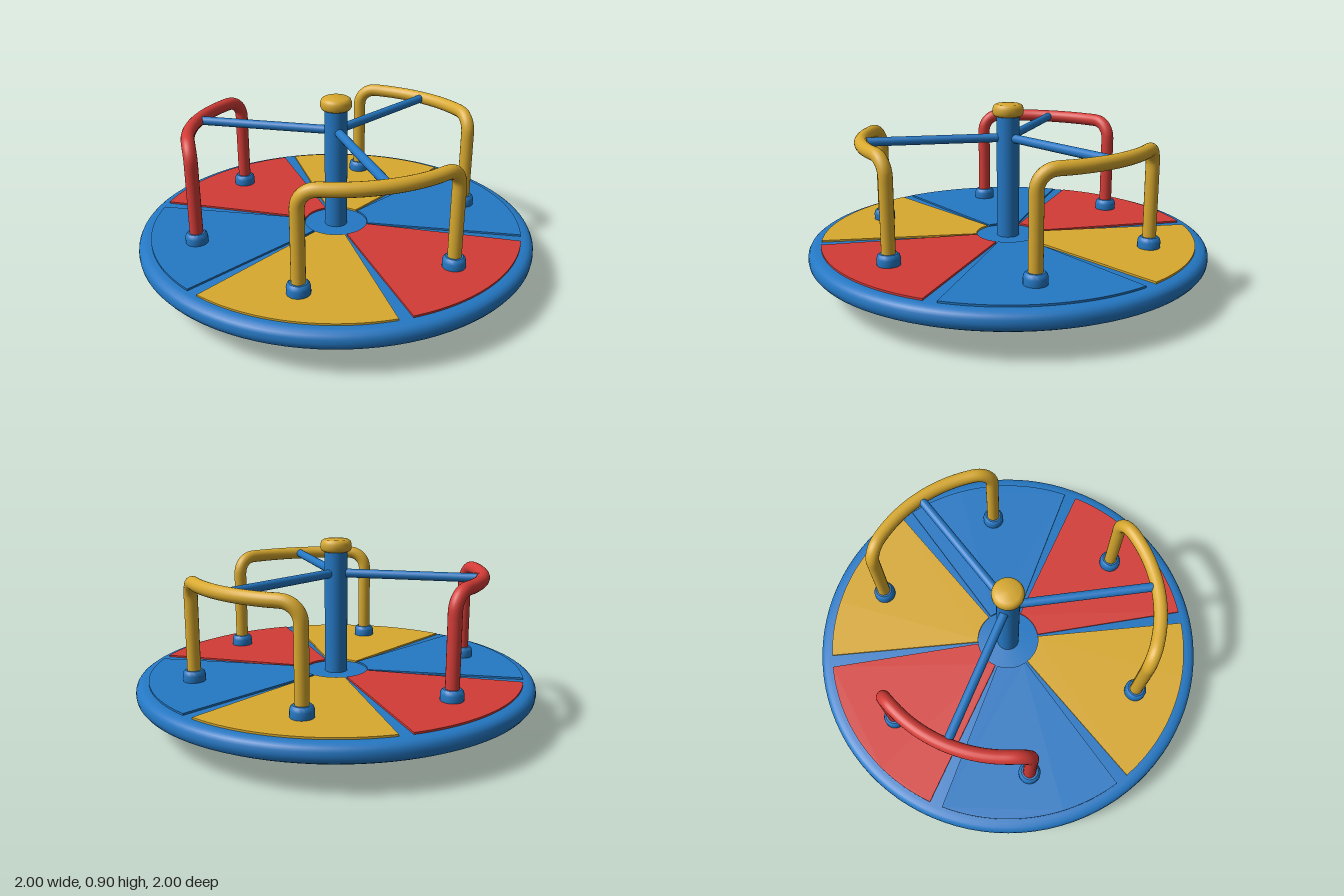
import * as THREE from 'three';
import { toCreasedNormals } from 'three/addons/utils/BufferGeometryUtils.js';

const material = (name, color) => {
  const m = new THREE.MeshStandardMaterial({ color });
  m.name = name;
  return m;
};
const DEG = Math.PI / 180;
const RAIL_R = 0.72;
const RAIL_Y = 0.732;

export function createModel() {
  const blue = material('blue paint', 0x2478c4);
  const yellow = material('yellow paint', 0xd8a92f);
  const red = material('red paint', 0xd43c37);
  const grey = material('grey metal', 0xa9b1b5);

  const model = new THREE.Group();
  model.name = 'merryGoRound';

  const add = (name, geometry, mat, parent = model) => {
    const mesh = new THREE.Mesh(geometry, mat);
    mesh.name = name;
    parent.add(mesh);
    return mesh;
  };
  const lathe = (points, segments) => toCreasedNormals(
    new THREE.LatheGeometry(points.map(([x, y]) => new THREE.Vector2(x, y)), segments), 40 * DEG);

  // Ground base: flange flaring into a short cone
  add('base', lathe([[0, 0], [0.27, 0], [0.27, 0.036], [0.232, 0.042], [0.215, 0.052],
    [0.202, 0.07], [0.18, 0.135], [0, 0.135]], 64), grey);

  // Round platform with a rolled rim
  add('platform', lathe([[0, 0.13], [0.935, 0.13], [0.965, 0.134], [0.986, 0.145], [0.997, 0.16],
    [1, 0.178], [0.998, 0.198], [0.99, 0.213], [0.976, 0.223], [0.955, 0.227], [0, 0.227]], 96), blue);

  // Six painted floor panels
  const panel = (a0, a1) => {
    const shape = new THREE.Shape();
    shape.absarc(0, 0, 0.937, a0, a1, false);
    shape.absarc(0, 0, 0.16, a1, a0, true);
    shape.closePath();
    return new THREE.ExtrudeGeometry(shape, { depth: 0.009, bevelEnabled: false, curveSegments: 24 })
      .rotateX(-Math.PI / 2).translate(0, 0.227, 0);
  };
  const panelColours = [yellow, red, blue];
  for (let i = 0; i < 6; i++) {
    add('floorPanel', panel((60 * i + 2) * DEG, (60 * i + 58) * DEG), panelColours[i % 3]);
  }

  // Centre post and its cap
  add('centrePost', new THREE.CylinderGeometry(0.057, 0.057, 0.63, 40).translate(0, 0.54, 0), blue);
  add('postCap', lathe([[0, 0.838], [0.06, 0.838], [0.071, 0.843], [0.077, 0.855], [0.077, 0.878],
    [0.072, 0.892], [0.06, 0.9], [0, 0.9]], 40), yellow);

  // Handrail path: upright, rounded bend, arc round the platform, bend, upright
  const half = 31 * DEG;
  const bend = 0.09;
  const at = (angle, y) => new THREE.Vector3(RAIL_R * Math.cos(angle), y, -RAIL_R * Math.sin(angle));
  const side = [];
  for (const y of [0.22, 0.35, 0.5, 0.6]) side.push([half, y]);
  for (let i = 0; i <= 6; i++) {
    const t = i / 6 * Math.PI / 2;
    side.push([half - bend * (1 - Math.cos(t)) / RAIL_R, RAIL_Y - bend + bend * Math.sin(t)]);
  }
  const arcStart = half - bend / RAIL_R;
  const path = side.map(([a, y]) => at(a, y));
  for (let i = 1; i < 10; i++) path.push(at(arcStart * (1 - i / 5), RAIL_Y));
  path.push(...side.slice().reverse().map(([a, y]) => at(-a, y)));
  const railGeometry = new THREE.TubeGeometry(new THREE.CatmullRomCurve3(path), 120, 0.033, 20);

  const collarGeometry = lathe([[0, 0.225], [0.053, 0.225], [0.055, 0.24], [0.055, 0.268],
    [0.051, 0.282], [0.042, 0.29], [0, 0.29]], 28);
  const spokeGeometry = new THREE.CylinderGeometry(0.022, 0.022, 0.72, 20)
    .rotateZ(Math.PI / 2).translate(0.36, RAIL_Y, 0);

  // Three handrails, each with two floor collars and a spoke to the post
  [yellow, red, yellow].forEach((colour, i) => {
    const unit = new THREE.Group();
    unit.name = 'handrailUnit';
    unit.rotation.y = i * 120 * DEG;
    add('handrail', railGeometry, colour, unit);
    add('spoke', spokeGeometry, blue, unit);
    for (const s of [-1, 1]) {
      add('railCollar', collarGeometry, blue, unit).position.copy(at(s * half, 0));
    }
    model.add(unit);
  });

  return model;
}
